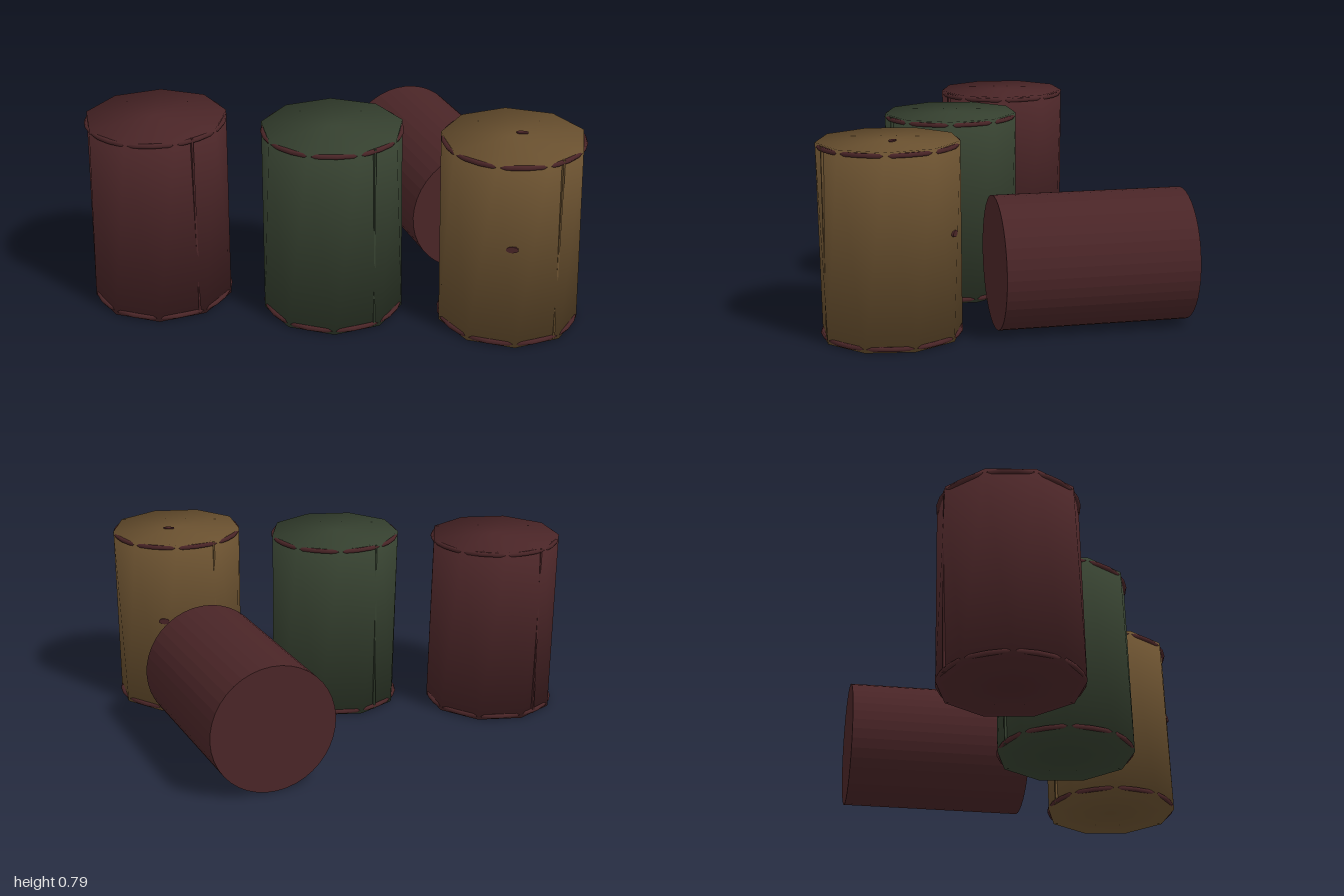
import * as THREE from 'three';
import { mergeVertices } from 'three/addons/utils/BufferGeometryUtils.js';

const mat = (name, color, flatShading = false) => {
  const m = new THREE.MeshStandardMaterial({ color, flatShading });
  m.name = name;
  return m;
};

const R = 0.285, H = 0.785, SIDES = 9;

// Low-poly drum whose bottom ring is turned half a step, softly shaded over its edges
function drumGeometry() {
  let g = new THREE.CylinderGeometry(R, R, H, SIDES, 1, false, -Math.PI / 2);
  g.deleteAttribute('normal');
  g.deleteAttribute('uv');
  g = mergeVertices(g, 1e-4);
  const p = g.attributes.position;
  const normals = [];
  const v = new THREE.Vector3();
  const up = new THREE.Vector3(0, 1, 0);
  for (let i = 0; i < p.count; i++) {
    v.fromBufferAttribute(p, i);
    if (v.y < 0) v.applyAxisAngle(up, Math.PI / SIDES);
    p.setXYZ(i, v.x, v.y, v.z);
    v.set(v.x / R, Math.sign(v.y), v.z / R).normalize();
    normals.push(v.x, v.y, v.z);
  }
  g.setAttribute('normal', new THREE.Float32BufferAttribute(normals, 3));
  g.translate(0, H / 2, 0);
  return g;
}

export function createModel() {
  const model = new THREE.Group();
  const red = mat('dark red', 0x4a2527);
  const green = mat('dark green', 0x35402f);
  const ochre = mat('ochre brown', 0x69502f);
  const redFlat = red.clone();
  redFlat.name = 'dark red';
  redFlat.flatShading = true;

  const add = (parent, name, geometry, material, x = 0, y = 0, z = 0) => {
    const m = new THREE.Mesh(geometry, material);
    m.name = name;
    m.position.set(x, y, z);
    parent.add(m);
    return m;
  };

  const body = drumGeometry();
  // Thin hoops that show only where the flat sides dip inward
  const hoop = new THREE.TorusGeometry(0.274, 0.01, 6, 28).rotateX(Math.PI / 2);
  const seam = new THREE.BoxGeometry(0.008, H - 0.01, 0.02);

  // Three upright drums in a row
  const drums = [[-0.715, red, 'redDrum'], [0, green, 'greenDrum'], [0.715, ochre, 'ochreDrum']];
  for (const [x, material, name] of drums) {
    const drum = new THREE.Group();
    drum.name = name;
    drum.position.set(x, 0, 0.445);
    add(drum, 'drumBody', body, material);
    add(drum, 'topHoop', hoop, red, 0, H - 0.015, 0);
    add(drum, 'bottomHoop', hoop, red, 0, 0.015, 0);
    // Welded seams on opposite sides
    for (const a of [Math.PI / 4, Math.PI * 5 / 4]) {
      const r = 0.27;
      add(drum, 'sideSeam', seam, material, r * Math.sin(a), H / 2, r * Math.cos(a)).rotation.y = a;
    }
    model.add(drum);
  }

  // Small rust marks on the ochre drum
  const spot = new THREE.CylinderGeometry(0.5, 0.5, 0.008, 10);
  const marks = [[0.735, 0.43, 0.722, Math.PI / 2], [0.735, 0.43, 0.168, Math.PI / 2], [0.745, H, 0.415, 0]];
  for (const [x, y, z, tilt] of marks) {
    const m = add(model, 'rustMark', spot, red, x, y, z);
    m.rotation.x = tilt;
    m.scale.set(0.05, 1, 0.026);
  }

  // Drum lying on its side behind the row
  const lying = add(model, 'lyingDrum', new THREE.CylinderGeometry(0.272, 0.272, 0.78, 40), redFlat, 0.355, 0.272, -0.272);
  lying.quaternion.setFromUnitVectors(new THREE.Vector3(0, 1, 0), new THREE.Vector3(0.48, 0, 0.877).normalize());

  return model;
}
